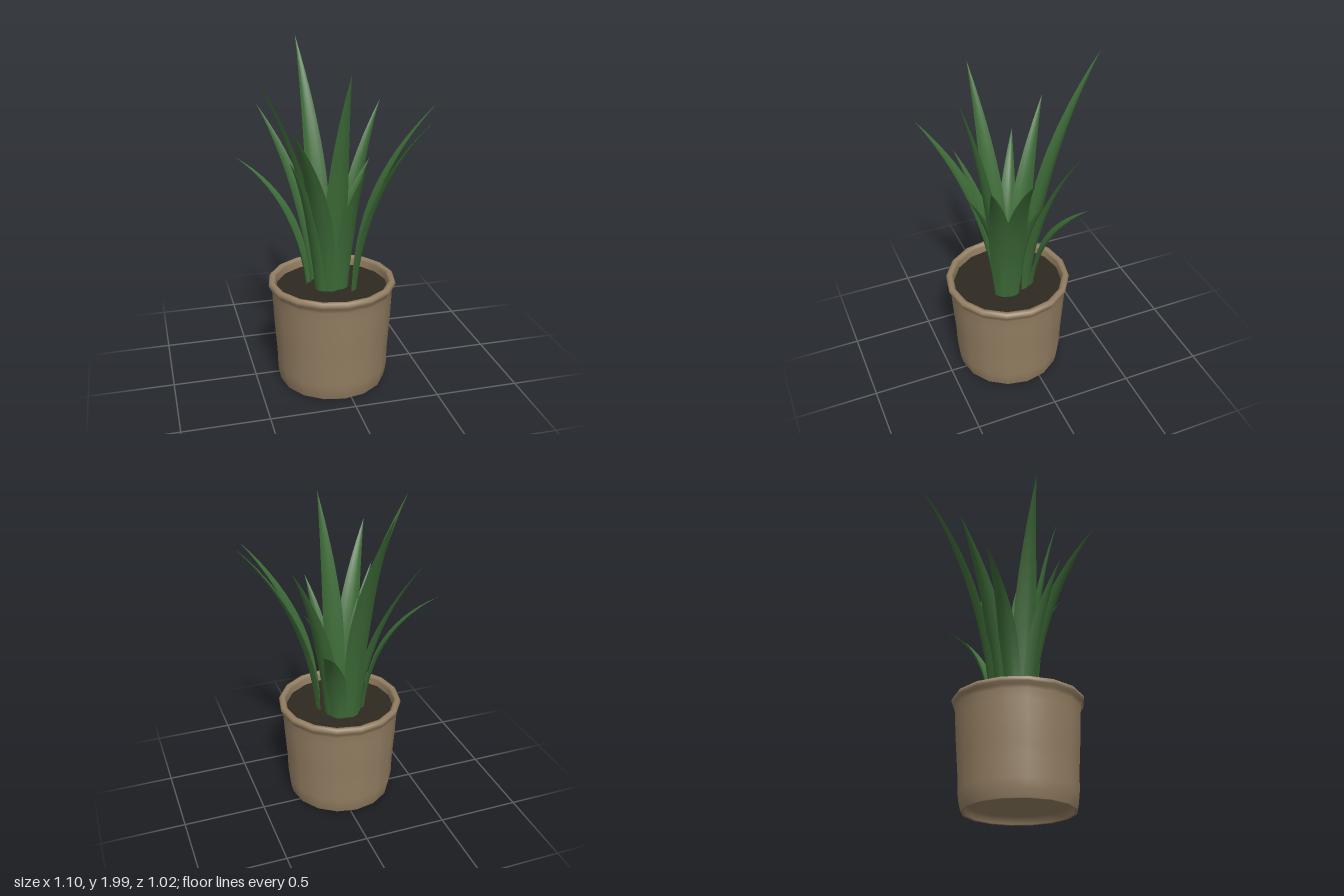
import * as THREE from 'three';

const CX = -0.04, CZ = 0.09; // pot axis

// A pointed, channelled blade that rises from its base and arches to its tip
function bladeGeometry([bx, bz, tx, ty, tz, width, rise]) {
  const base = new THREE.Vector3(bx, 0.56, bz);
  const tip = new THREE.Vector3(tx, ty, tz);
  const out = new THREE.Vector3(tx - bx, 0, tz - bz);
  const control = base.clone().addScaledVector(out, 0.08);
  control.y += (ty - base.y) * rise;
  const curve = new THREE.QuadraticBezierCurve3(base, control, tip);
  const side = new THREE.Vector3(out.z, 0, -out.x).normalize();
  const rows = 14, cols = 4, pos = [], index = [];
  for (let i = 0; i <= rows; i++) {
    const t = i / rows;
    const p = curve.getPoint(t);
    const inward = new THREE.Vector3().crossVectors(curve.getTangent(t), side).normalize();
    if (inward.dot(out) > 0) inward.negate();
    const swell = t < 0.4 ? 0.7 + 0.3 * Math.sin((t / 0.4) * Math.PI / 2)
      : 1 - Math.pow((t - 0.4) / 0.6, 1.3);
    const half = width / 2 * Math.max(swell, 0.004);
    for (let j = 0; j <= cols; j++) {
      const u = j / cols * 2 - 1;
      const q = p.clone().addScaledVector(side, u * half)
        .addScaledVector(inward, (u * u - 0.5) * half * 0.4);
      pos.push(q.x, q.y, q.z);
    }
  }
  for (let i = 0; i < rows; i++) for (let j = 0; j < cols; j++) {
    const a = i * (cols + 1) + j, b = a + cols + 1;
    index.push(a, a + 1, b, a + 1, b + 1, b);
  }
  const g = new THREE.BufferGeometry();
  g.setAttribute('position', new THREE.Float32BufferAttribute(pos, 3));
  g.setIndex(index);
  g.computeVertexNormals();
  return g;
}

export function createModel() {
  const model = new THREE.Group();
  const clay = new THREE.MeshStandardMaterial({ name: 'clay', color: 0x937e62 });
  const earth = new THREE.MeshStandardMaterial({ name: 'earth', color: 0x2e2a20 });
  const green = new THREE.MeshStandardMaterial({ name: 'leafGreen', color: 0x3d6b37, side: THREE.DoubleSide });

  // Pot: recessed foot, tapering wall, rolled rim and inner lip
  const profile = [
    [0, 0.05], [0.29, 0.045], [0.3, 0.003], [0.303, 0], [0.315, 0],
    [0.318, 0.003], [0.329, 0.05], [0.335, 0.1], [0.337, 0.2], [0.344, 0.3], [0.351, 0.4],
    [0.357, 0.52], [0.36, 0.58], [0.366, 0.6], [0.378, 0.615], [0.38, 0.63], [0.372, 0.643],
    [0.36, 0.647], [0.345, 0.643], [0.336, 0.63], [0.333, 0.57],
  ].map(([r, y]) => new THREE.Vector2(r, y));
  const pot = new THREE.Mesh(new THREE.LatheGeometry(profile, 16), clay);
  pot.name = 'pot';
  pot.position.set(CX, 0, CZ);
  model.add(pot);

  // Soil
  const soil = new THREE.Mesh(new THREE.CircleGeometry(0.335, 16), earth);
  soil.name = 'soil';
  soil.rotation.x = -Math.PI / 2;
  soil.position.set(CX, 0.59, CZ);
  model.add(soil);

  // Leaves: base x, base z, tip x, tip y, tip z, width, stiffness
  const leaves = new THREE.Group();
  leaves.name = 'leaves';
  [
    [-0.065, -0.06, -0.115, 1.99, -0.51, 0.135, 0.55],
    [-0.125, -0.01, -0.4, 1.63, -0.29, 0.135, 0.55],
    [-0.175, 0.04, -0.55, 1.35, -0.155, 0.11, 0.7],
    [-0.125, 0.11, -0.48, 1.89, 0.145, 0.135, 0.55],
    [-0.125, 0.14, -0.325, 1.43, 0.305, 0.11, 0.58],
    [-0.09, 0.155, -0.35, 1.64, 0.505, 0.14, 0.6],
    [-0.04, 0.16, 0, 1.89, 0.36, 0.14, 0.55],
    [0.01, 0.15, 0.08, 1.37, 0.38, 0.11, 0.6],
    [0.08, 0.165, 0.47, 1.63, 0.37, 0.14, 0.6],
    [0.095, 0.12, 0.545, 1.67, 0.17, 0.14, 0.6],
    [0.05, 0.0, 0.335, 1.64, -0.205, 0.13, 0.55],
    [0.02, -0.045, 0.205, 1.17, -0.315, 0.13, 0.7],
    [0.01, 0.045, 0.23, 1.32, -0.06, 0.13, 0.6],
  ].forEach((spec, i) => {
    const leaf = new THREE.Mesh(bladeGeometry(spec), green);
    leaf.name = `leaf${i + 1}`;
    leaves.add(leaf);
  });
  model.add(leaves);
  return model;
}
